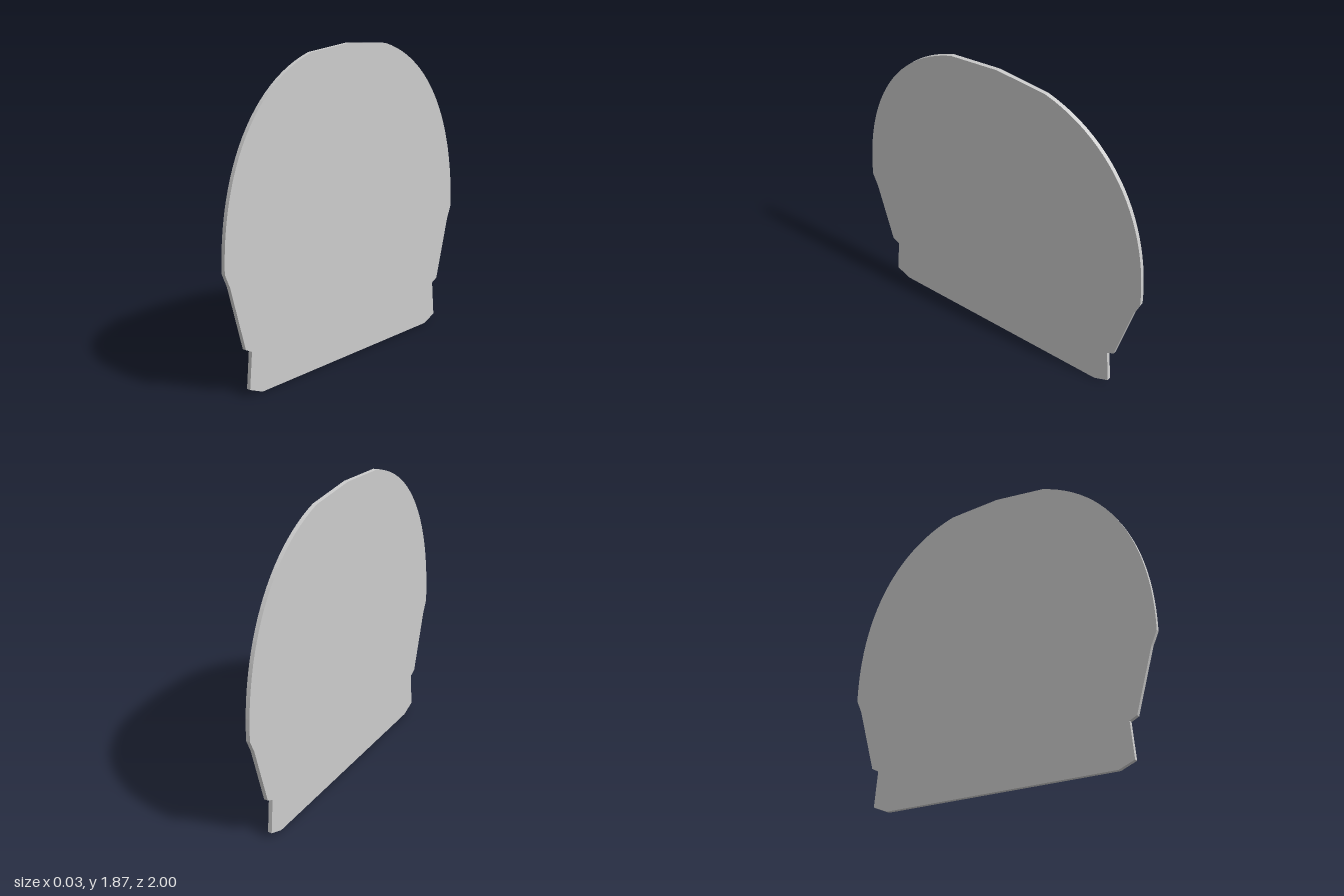
import * as THREE from 'three';

const THICKNESS = 0.025;

export function createModel() {
  const group = new THREE.Group();
  group.name = 'panel';

  // One half of the outline, from the base up to the crown
  const foot = [[0.74, 0], [0.835, 0.04], [0.815, 0.257], [0.86, 0.28], [0.965, 0.66]];
  const arch = new THREE.CubicBezierCurve(
    new THREE.Vector2(1, 0.74), new THREE.Vector2(1, 1.28),
    new THREE.Vector2(0.77, 1.715), new THREE.Vector2(0.32, 1.845)
  );
  const half = [...foot.map(([x, y]) => new THREE.Vector2(x, y)), ...arch.getPoints(24)];

  // Mirror the half around the peak
  const mirrored = half.map((p) => new THREE.Vector2(-p.x, p.y)).reverse();
  const shape = new THREE.Shape([...half, new THREE.Vector2(0, 1.872), ...mirrored]);

  // Thin flat plate, turned so its faces point along x
  const geometry = new THREE.ExtrudeGeometry(shape, { depth: THICKNESS, bevelEnabled: false });
  geometry.translate(0, 0, -THICKNESS / 2);
  geometry.rotateY(Math.PI / 2);

  const plate = new THREE.Mesh(geometry, new THREE.MeshStandardMaterial({ color: 0xcccccc }));
  plate.name = 'archedPlate';
  group.add(plate);
  return group;
}
